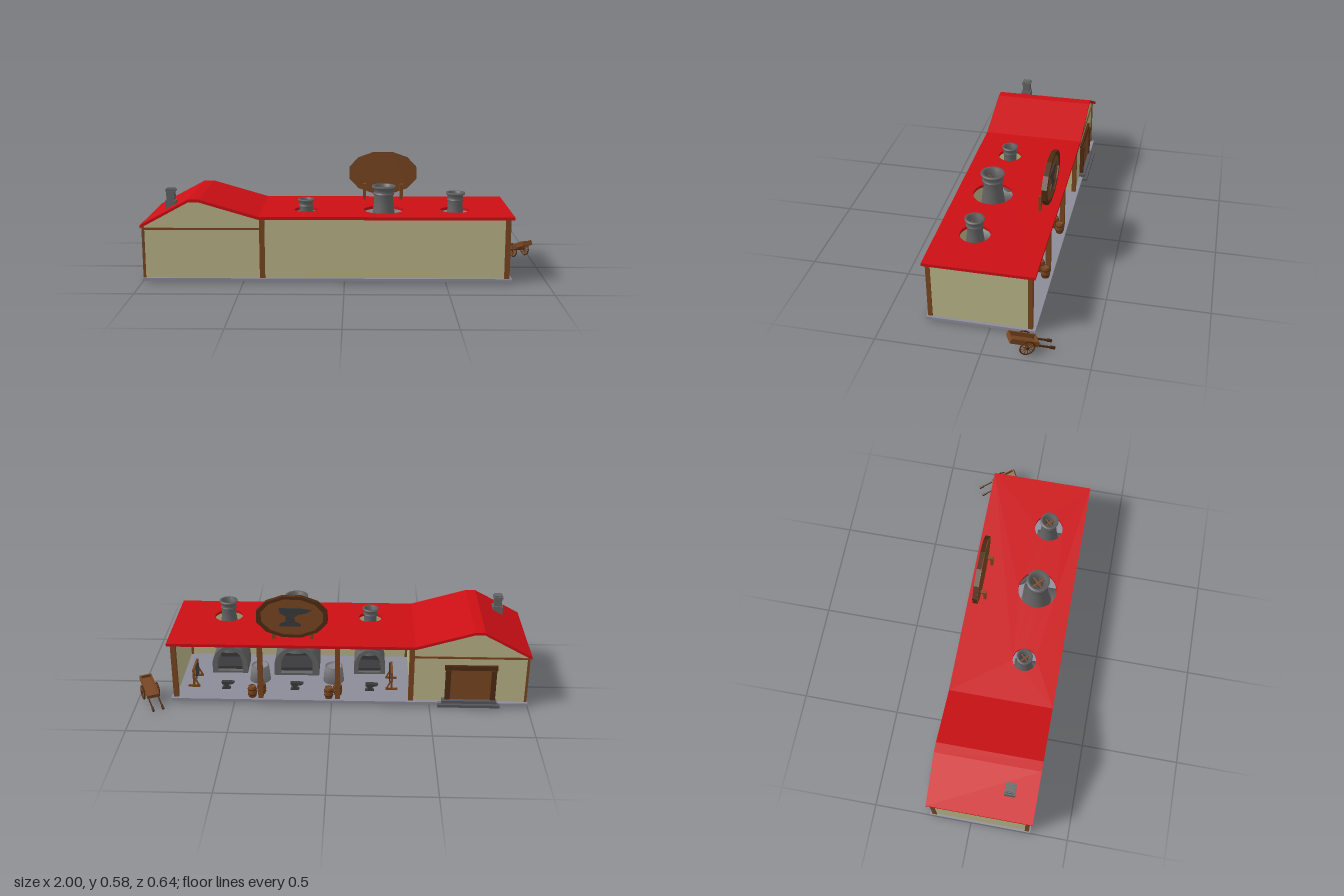
import * as THREE from 'three';

const mat = (color) => new THREE.MeshStandardMaterial({ color, side: THREE.DoubleSide });
const M = {
  red: mat(0xcc0f14), wall: mat(0xbab588), wood: mat(0x7a4620), dark: mat(0x4e2b14),
  floor: mat(0x8c8b99), stone: mat(0x636363), step: mat(0x55555c), vat: mat(0x85858a), iron: mat(0x3a3a3c),
};

function add(parent, name, geo, m, x = 0, y = 0, z = 0) {
  const mesh = new THREE.Mesh(geo, m);
  mesh.name = name;
  mesh.position.set(x, y, z);
  parent.add(mesh);
  return mesh;
}
// box given by its min and max corners
function box(parent, name, m, x0, x1, y0, y1, z0, z1) {
  return add(parent, name, new THREE.BoxGeometry(x1 - x0, y1 - y0, z1 - z0), m, (x0 + x1) / 2, (y0 + y1) / 2, (z0 + z1) / 2);
}
function group(parent, name, x = 0, y = 0, z = 0) {
  const g = new THREE.Group();
  g.name = name;
  g.position.set(x, y, z);
  parent.add(g);
  return g;
}
const poly = (pts) => new THREE.Shape(pts.map(([x, y]) => new THREE.Vector2(x, y)));
const extrude = (shape, depth) => new THREE.ExtrudeGeometry(shape, { depth, bevelEnabled: false, curveSegments: 16 });
const lathe = (pts, n = 24) => new THREE.LatheGeometry(pts.map(([r, y]) => new THREE.Vector2(r, y)), n);

// forges: x, horizontal scale, chimney top, roof hole radius
const FORGE_Z = 0.13;
const FORGES = [[-0.195, 0.69, 0.382, 0.06], [0.195, 1, 0.45, 0.1], [0.555, 0.79, 0.417, 0.074]];

function roof(g) {
  const pitched = [[-1, 0.268], [-0.76, 0.398], [-0.71, 0.398], [-0.42, 0.312], [-0.42, 0.327], [-0.71, 0.412], [-0.76, 0.412], [-1, 0.283]];
  add(g, 'pitchedRoof', extrude(poly(pitched), 0.528), M.red, 0, 0, -0.215);
  const flat = poly([[-0.42, -0.313], [0.83, -0.313], [0.83, 0.215], [-0.42, 0.215]]);
  for (const [x, , , r] of FORGES) flat.holes.push(new THREE.Path().absarc(x, -FORGE_Z, r, 0, Math.PI * 2, true));
  add(g, 'flatRoof', extrude(flat, 0.015), M.red, 0, 0.312, 0).rotation.x = -Math.PI / 2;
  box(g, 'houseChimneyBase', M.stone, -0.893, -0.84, 0.3, 0.385, 0.153, 0.207);
  box(g, 'houseChimney', M.stone, -0.887, -0.847, 0.38, 0.445, 0.16, 0.2);
  box(g, 'houseChimneyCap', M.stone, -0.892, -0.842, 0.43, 0.438, 0.155, 0.205);
}

function walls(g) {
  box(g, 'floor', M.floor, -1, 0.825, 0, 0.015, -0.215, 0.307);
  const gable = [[-0.42, 0.312], [-0.71, 0.4], [-0.76, 0.4], [-0.99, 0.274], [-0.99, 0.012]];
  add(g, 'frontWall', extrude(poly([[0.81, 0.012], [0.81, 0.312], ...gable]), 0.01), M.wall, 0, 0, 0.283);
  add(g, 'backHouseWall', extrude(poly([[-0.405, 0.012], [-0.405, 0.312], ...gable]), 0.01), M.wall, 0, 0, -0.193);
  box(g, 'rightEndWall', M.wall, -0.99, -0.98, 0.012, 0.274, -0.19, 0.29);
  box(g, 'leftEndWall', M.wall, 0.8, 0.81, 0.012, 0.312, -0.19, 0.29);
  box(g, 'partitionWall', M.wall, -0.415, -0.405, 0.012, 0.312, -0.19, 0.29);
  for (const z of [0.289, -0.189]) {
    box(g, 'cornerPost', M.wood, 0.788, 0.814, 0.012, 0.313, z - 0.011, z + 0.011);
    box(g, 'middlePost', M.wood, -0.418, -0.392, 0.012, 0.318, z - 0.011, z + 0.011);
    box(g, 'thinPost', M.wood, -0.995, -0.983, 0.012, 0.274, z - 0.011, z + 0.011);
    box(g, 'gableBeam', M.wood, -0.99, -0.41, 0.257, 0.267, z - 0.009, z + 0.009);
  }
  // door with frame and steps
  box(g, 'doorPanel', M.wood, -0.81, -0.6, 0.02, 0.195, -0.206, -0.19);
  box(g, 'doorLintel', M.dark, -0.838, -0.572, 0.195, 0.22, -0.206, -0.19);
  for (const x of [-0.82, -0.59]) box(g, 'doorJamb', M.dark, x - 0.013, x + 0.013, 0.015, 0.198, -0.213, -0.19);
  box(g, 'lowerStep', M.step, -0.855, -0.54, 0, 0.015, -0.241, -0.2);
  box(g, 'upperStep', M.step, -0.84, -0.56, 0.015, 0.03, -0.226, -0.19);
}

function forge(parent, x, s, top) {
  const g = group(parent, 'forge', x, 0.015, FORGE_Z);
  g.scale.set(s, (top - 0.015) / 0.435, s);
  // arched hearth
  const arch = (r, y, S) => new S().moveTo(r, 0).lineTo(r, y).absarc(0, y, r, 0, Math.PI, false).lineTo(-r, 0);
  const shell = arch(0.12, 0.05, THREE.Shape);
  const inner = arch(0.085, 0.05, THREE.Path);
  shell.holes.push(new THREE.Path(inner.getPoints(16).map((p) => p.add(new THREE.Vector2(0, 0.012))).reverse()));
  add(g, 'hearthArch', extrude(shell, 0.19), M.stone, 0, 0, -0.08);
  box(g, 'hearthBack', M.iron, -0.1, 0.1, 0, 0.13, 0.09, 0.1);
  box(g, 'hearthBed', M.iron, -0.09, 0.09, 0, 0.03, -0.05, 0.09);
  // flared chimney with two collars
  add(g, 'chimney', lathe([[0.085, 0.13], [0.07, 0.2], [0.06, 0.26], [0.054, 0.31], [0.049, 0.345], [0.047, 0.389], [0.053, 0.391],
    [0.053, 0.399], [0.046, 0.402], [0.05, 0.42], [0.06, 0.425], [0.06, 0.435], [0.042, 0.435], [0.038, 0.39], [0.04, 0.3], [0.07, 0.15]], 32), M.stone);
  for (const a of [1, -1]) add(g, 'grateBar', new THREE.BoxGeometry(0.084, 0.006, 0.01), M.wood, 0, 0.4, 0).rotation.y = a * Math.PI / 4;
  add(g, 'grateRing', new THREE.TorusGeometry(0.022, 0.003, 6, 20), M.iron, 0, 0.4, 0).rotation.x = Math.PI / 2;
}

const anvilShape = (k) => poly([[-0.5, 0], [0.5, 0], [0.45, 0.14], [0.2, 0.25], [0.2, 0.5], [0.45, 0.65], [0.5, 0.9], [-0.45, 0.9],
  [-1, 0.82], [-0.75, 0.65], [-0.4, 0.58], [-0.2, 0.45], [-0.2, 0.25], [-0.45, 0.14]].map(([x, y]) => [x * k, y * k]));

function barrel(parent, x, z) {
  const g = group(parent, 'barrel', x, 0.015, z);
  add(g, 'barrelStaves', lathe([[0, 0], [0.019, 0], [0.024, 0.03], [0.019, 0.06], [0.017, 0.055], [0, 0.055]], 12), M.wood);
  for (const y of [0.016, 0.044]) add(g, 'barrelHoop', new THREE.CylinderGeometry(0.0235, 0.0235, 0.005, 12), M.dark, 0, y, 0);
}

function rack(parent, x, dir) {
  const g = group(parent, 'toolRack', x, 0.015, -0.03);
  for (const z of [-0.06, 0.06]) {
    box(g, 'rackFoot', M.wood, -0.03, 0.03, 0, 0.01, z - 0.005, z + 0.005);
    box(g, 'rackPost', M.wood, -0.005, 0.005, 0, 0.1, z - 0.005, z + 0.005);
    add(g, 'rackBrace', new THREE.BoxGeometry(0.007, 0.07, 0.007), M.wood, dir * 0.013, 0.033, z).rotation.z = dir * 0.45;
  }
  for (const y of [0.05, 0.09]) box(g, 'rackRail', M.wood, -0.006, 0.006, y, y + 0.009, -0.068, 0.068);
  for (const z of [-0.03, 0, 0.03]) box(g, 'rackTool', M.iron, dir * 0.01 - 0.003, dir * 0.01 + 0.003, 0.03, 0.11, z - 0.003, z + 0.003);
}

function workshop(g) {
  for (const [x, s, top] of FORGES) {
    forge(g, x, s, top);
    add(g, 'anvil', extrude(anvilShape(0.045), 0.024), M.iron, x, 0.015, -0.112);
  }
  for (const x of [0.385, -0.005]) {
    add(g, 'quenchVat', lathe([[0, 0], [0.055, 0], [0.046, 0.085], [0.04, 0.085], [0.04, 0.072], [0, 0.072]]), M.vat, x, 0.015, 0.005);
  }
  for (const x of [0.364, -0.03]) {
    box(g, 'openSidePost', M.wood, x - 0.013, x + 0.013, 0.012, 0.313, -0.2, -0.176);
    barrel(g, x + 0.045, -0.182);
    barrel(g, x, -0.148);
  }
  rack(g, 0.725, -1);
  rack(g, -0.31, 1);
}

function sign(parent) {
  const g = group(parent, 'roofSign', 0.198, 0.465, -0.152);
  const oval = (k) => poly(Array.from({ length: 12 }, (_, i) => {
    const a = (i + 0.5) * Math.PI / 6;
    return [0.184 * k * Math.cos(a), 0.114 * k * Math.sin(a)];
  }));
  const rim = oval(1);
  rim.holes.push(oval(0.87));
  add(g, 'signRim', extrude(rim, 0.025), M.dark, 0, 0, -0.025);
  add(g, 'signBoard', extrude(oval(0.9), 0.019), M.wood, 0, 0, -0.019);
  add(g, 'signFace', extrude(oval(1), 0.004), M.wood, 0, 0, -0.003);
  add(g, 'signAnvil', extrude(anvilShape(0.11), 0.006), M.iron, 0.01, -0.05, -0.024);
  for (const x of [-0.097, 0.097]) {
    box(g, 'signLeg', M.wood, x - 0.008, x + 0.008, -0.145, -0.055, 0.015, 0.029);
    box(g, 'signBracket', M.wood, x - 0.008, x + 0.008, -0.067, -0.055, -0.003, 0.029);
  }
}

function cart(parent) {
  const g = group(parent, 'handCart', 0.937, 0.041, -0.19);
  g.rotation.y = 0.49;
  const bed = group(g, 'cartBed');
  bed.rotation.x = -0.4;
  box(bed, 'bedFloor', M.wood, -0.028, 0.028, 0.006, 0.011, -0.05, 0.085);
  for (const s of [-1, 1]) {
    box(bed, 'bedSide', M.wood, s * 0.028 - 0.003, s * 0.028 + 0.003, 0.006, 0.032, -0.05, 0.085);
    box(bed, 'handle', M.dark, s * 0.025 - 0.003, s * 0.025 + 0.003, 0.008, 0.016, -0.14, -0.04);
    box(bed, 'handleGrip', M.dark, s * 0.025 - 0.005, s * 0.025 + 0.005, 0.006, 0.018, -0.14, -0.115);
    // spoked wheel
    const wheel = group(g, 'wheel', s * 0.039, 0, 0);
    wheel.rotation.y = Math.PI / 2;
    add(wheel, 'wheelRim', new THREE.TorusGeometry(0.035, 0.0035, 6, 12), M.dark);
    add(wheel, 'hub', new THREE.CylinderGeometry(0.007, 0.007, 0.012, 10), M.dark).rotation.x = Math.PI / 2;
    for (let i = 0; i < 6; i++) add(wheel, 'spokePair', new THREE.BoxGeometry(0.07, 0.0035, 0.003), M.wood).rotation.z = i * Math.PI / 6;
  }
  for (const z of [-0.05, 0.085]) box(bed, 'bedEnd', M.wood, -0.031, 0.031, 0.006, 0.03, z - 0.003, z + 0.003);
  box(g, 'axle', M.dark, -0.042, 0.042, -0.003, 0.003, -0.003, 0.003);
}

export function createModel() {
  const model = new THREE.Group();
  model.name = 'smithy';
  walls(group(model, 'building'));
  roof(group(model, 'roof'));
  workshop(group(model, 'workshop'));
  sign(model);
  cart(model);
  return model;
}
